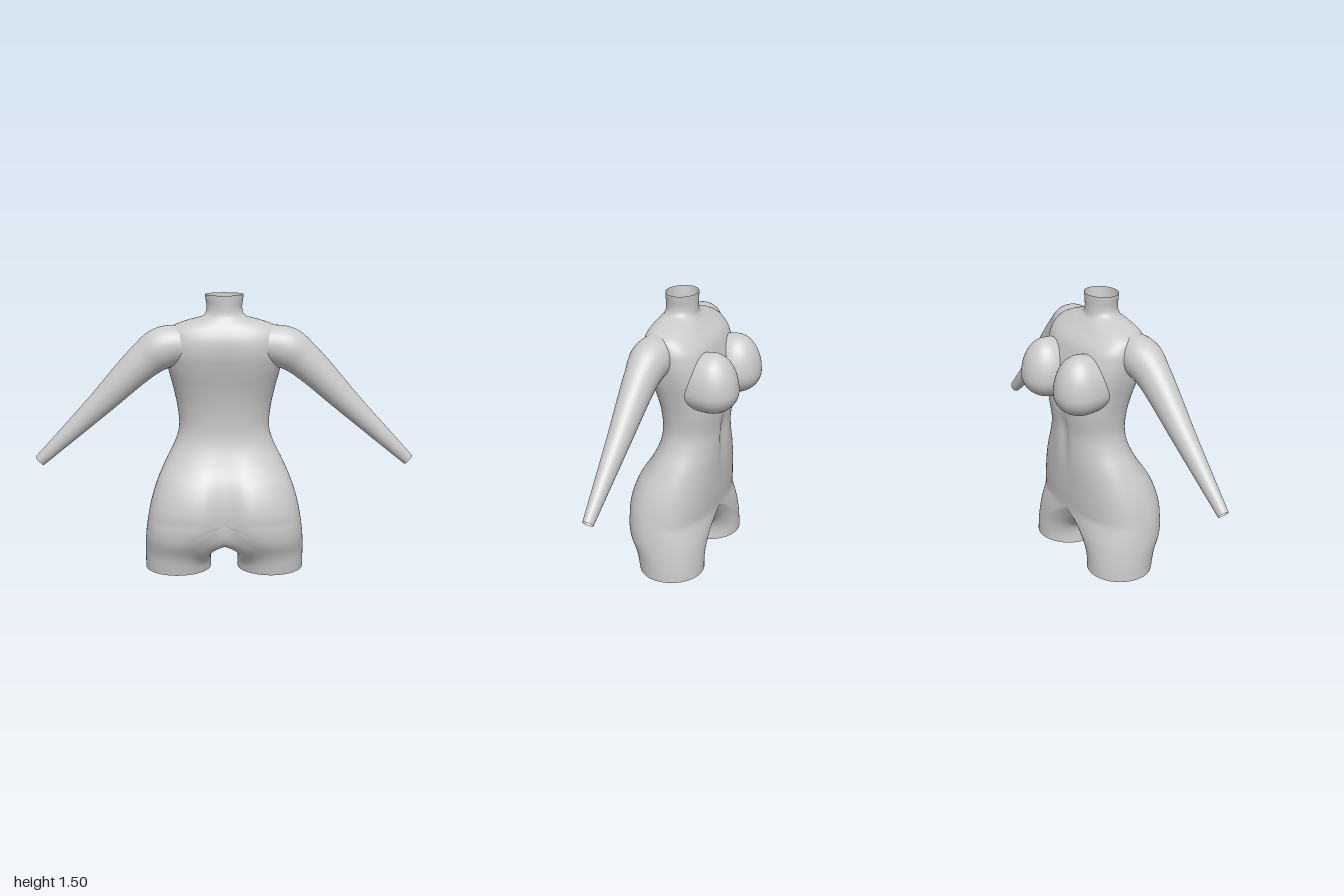
import * as THREE from 'three';
import { mergeGeometries, mergeVertices } from 'three/addons/utils/BufferGeometryUtils.js';

const material = new THREE.MeshStandardMaterial({ color: 0xcccccc, side: THREE.DoubleSide });
const HIP = 0.3; // height where the legs join the torso
const HALF = 40; // segments in half a body section

// Body sections: height, half width, front z, back z, roundness exponent, depth of back groove
const sections = [
  [0, 0.43, -0.15, 0.2, 2, 0],
  [0.1, 0.43, -0.15, 0.225, 2, 0],
  [0.2, 0.425, -0.15, 0.28, 2.2, 0.035],
  [0.3, 0.412, -0.147, 0.308, 2.4, 0.05],
  [0.4, 0.392, -0.155, 0.3, 2.4, 0.045],
  [0.5, 0.36, -0.16, 0.262, 2.4, 0.03],
  [0.6, 0.315, -0.165, 0.2, 2.3, 0.012],
  [0.7, 0.265, -0.168, 0.16, 2.2, 0.006],
  [0.78, 0.243, -0.17, 0.15, 2.2, 0.006],
  [0.9, 0.252, -0.183, 0.157, 2.3, 0.006],
  [1.0, 0.272, -0.18, 0.177, 2.4, 0.006],
  [1.12, 0.3, -0.165, 0.21, 2.6, 0.006],
  [1.2, 0.31, -0.145, 0.226, 2.7, 0.004],
  [1.28, 0.305, -0.112, 0.222, 2.7, 0],
  [1.335, 0.27, -0.058, 0.2, 2.6, 0],
  [1.365, 0.19, -0.03, 0.18, 2.4, 0],
  [1.385, 0.115, -0.012, 0.164, 2.1, 0],
  [1.4, 0.1, -0.01, 0.16, 2, 0],
  [1.5, 0.1, -0.01, 0.16, 2, 0],
];
const sampler = new THREE.CubicInterpolant(
  sections.map((s) => s[0]), sections.flatMap((s) => s.slice(1)), 5);
const sectionAt = (y) => [...sampler.evaluate(y)];

const power = (v, p) => Math.sign(v) * Math.abs(v) ** p;

// Grid surface from a function point(i, j) -> [x, y, z]
function gridSurface(rows, cols, point) {
  const positions = [], index = [];
  for (let i = 0; i <= rows; i++) {
    for (let j = 0; j <= cols; j++) {
      positions.push(...point(i, j));
      if (i === rows || j === cols) continue;
      const a = i * (cols + 1) + j, b = a + cols + 1;
      index.push(a, b, a + 1, b, b + 1, a + 1);
    }
  }
  const geometry = new THREE.BufferGeometry();
  geometry.setAttribute('position', new THREE.Float32BufferAttribute(positions, 3));
  geometry.setIndex(index);
  return geometry;
}

// Mirrored copy across x = 0 with the corner order reversed
function mirrored(geometry) {
  const copy = geometry.clone().scale(-1, 1, 1);
  copy.index.array.reverse();
  return copy;
}

// Depth of a section at angle a, with the centre grooves of belly and back
function sectionZ(a, x, y, [, front, back, n, groove]) {
  const s = Math.sin(a);
  const z = (front + back) / 2 + ((back - front) / 2) * power(s, 2 / n);
  const dent = s > 0
    ? -groove * Math.exp(-((x / 0.08) ** 2))
    : 0.018 * Math.exp(-((x / 0.035) ** 2) - ((y - 0.75) / 0.17) ** 2);
  return z + dent * s ** 4;
}

// Left half of the torso, from the hips up through the open neck
function torsoHalf() {
  const rows = 72;
  return gridSurface(rows, HALF, (i, j) => {
    const y = HIP + ((1.5 - HIP) * i) / rows;
    const a = Math.PI * (0.5 - j / HALF);
    const section = sectionAt(y);
    const x = section[0] * Math.max(Math.cos(a), 0) ** (2 / section[3]);
    return [x, y, sectionZ(a, x, y, section)];
  });
}

// Left thigh: an open tube whose inner half rises to the crotch arch
function thigh() {
  const rows = 20;
  return gridSurface(rows, HALF * 2, (i, j) => {
    const t = i / rows;
    const a = Math.PI * (0.5 - j / HALF);
    const c = Math.abs(Math.cos(a)) < 1e-6 ? 0 : Math.cos(a);
    const section = sectionAt(HIP * t);
    const centre = 0.252 * (1 - t ** 2.5);
    const inner = 0.073 * (1 - t ** 7);
    const reach = c > 0 ? section[0] - centre : centre - inner;
    const x = centre + reach * power(c, 2 / section[3]);
    const top = c < 0 ? 0.155 + (HIP - 0.155) * Math.abs(Math.sin(a)) ** 4 : HIP;
    return [x, top * t, sectionZ(a, x, HIP * t, section)];
  });
}

// Left arm: tapered open tube; stations are x, y, radius, radius in depth
function arm() {
  const stations = [
    [0.22, 1.245, 0.1, 0.1], [0.32, 1.225, 0.11, 0.105], [0.41, 1.165, 0.097, 0.088],
    [0.675, 0.91, 0.064, 0.058], [0.98, 0.622, 0.031, 0.028],
  ];
  const path = new THREE.CatmullRomCurve3(stations.map(([x, y]) => new THREE.Vector3(x, y, 0)));
  const radii = new THREE.CatmullRomCurve3(
    stations.map(([, , r, rz], k) => new THREE.Vector3(r, rz, 0.1 + 0.0045 * k)));
  const rows = 36, cols = 32;
  const geometry = gridSurface(rows, cols, (i, j) => {
    const p = path.getPoint(i / rows), d = path.getTangent(i / rows);
    const r = radii.getPoint(i / rows);
    const a = (j / cols) * Math.PI * 2;
    const up = r.x * Math.cos(a);
    return [p.x - d.y * up, p.y + d.x * up, r.z + r.y * Math.sin(a)];
  });
  return smooth(geometry);
}

// Left breast: a sphere drawn up into the chest and deepened at the back
function breast() {
  const geometry = new THREE.SphereGeometry(1, 40, 30);
  const p = geometry.attributes.position;
  for (let i = 0; i < p.count; i++) {
    const x = p.getX(i), y = p.getY(i), z = p.getZ(i);
    p.setXYZ(i,
      0.156 + 0.134 * x,
      1.05 + y * (y > 0 ? 0.2 : 0.12),
      -0.17 + z * (z > 0 ? 0.22 : 0.135));
  }
  return smooth(geometry);
}

// Weld shared points so shading runs across the seams
function smooth(geometry) {
  geometry.deleteAttribute('normal');
  geometry.deleteAttribute('uv');
  const welded = mergeVertices(geometry, 1e-4);
  welded.computeVertexNormals();
  return welded;
}

export function createModel() {
  const model = new THREE.Group();
  model.name = 'torsoForm';
  const add = (name, geometry) => {
    const mesh = new THREE.Mesh(geometry, material);
    mesh.name = name;
    model.add(mesh);
  };

  // Torso, neck and thighs as one welded skin
  const halves = [torsoHalf(), thigh()];
  add('body', smooth(mergeGeometries([...halves, ...halves.map(mirrored)])));

  // Paired parts
  for (const [name, geometry] of [['Arm', arm()], ['Breast', breast()]]) {
    add('left' + name, geometry);
    add('right' + name, mirrored(geometry));
  }
  return model;
}
